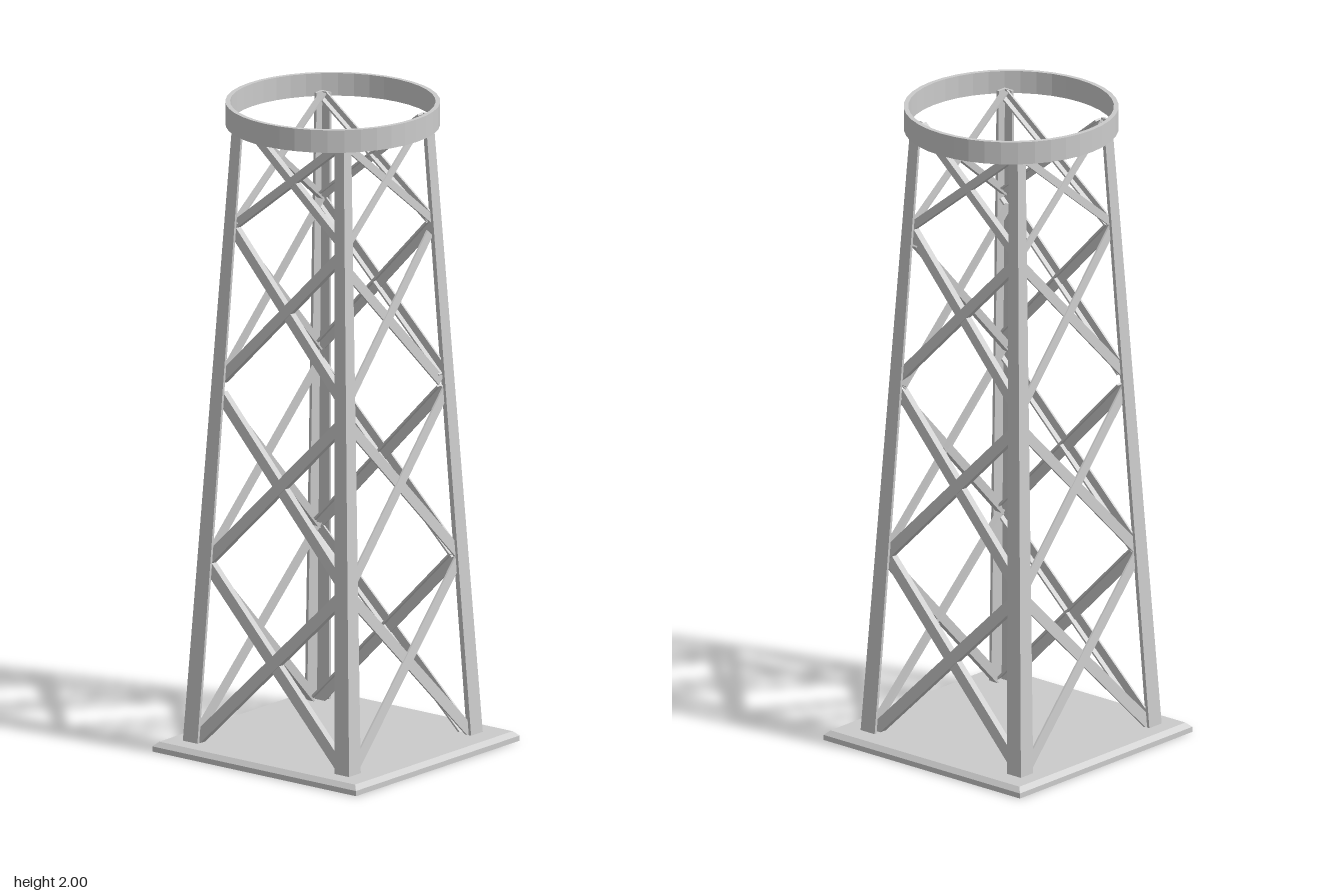
import * as THREE from 'three';

const grey = new THREE.MeshStandardMaterial({ color: 0xcccccc, flatShading: true, side: THREE.DoubleSide });
const V = (x, y, z) => new THREE.Vector3(x, y, z);
const LEG_TOP = 1.95;
const FLANGE = 0.023;                                     // inward depth of a brace
const lerp = THREE.MathUtils.lerp;
const half = (y) => lerp(0.32, 0.213, y / LEG_TOP);       // outer half width of the tower
const legWidth = (y) => lerp(0.056, 0.036, y / LEG_TOP);  // flange width of a leg

// L-shaped section: corner o, flange a along u, flange b along v, thickness t
function lSection(o, u, v, a, b, t) {
  return [[0, 0], [a, 0], [a, t], [t, t], [t, b], [0, b]]
    .map(([p, q]) => o.clone().addScaledVector(u, p).addScaledVector(v, q));
}

// Solid between two L sections
function loft(A, B) {
  const pts = [];
  for (let i = 0; i < 6; i++) {
    const j = (i + 1) % 6;
    pts.push(A[i], A[j], B[j], A[i], B[j], B[i]);
  }
  for (let i = 1; i < 5; i++) pts.push(A[0], A[i + 1], A[i], B[0], B[i], B[i + 1]);
  const g = new THREE.BufferGeometry().setFromPoints(pts);
  g.computeVertexNormals();
  return g;
}

function mesh(name, geometry) {
  const m = new THREE.Mesh(geometry, grey);
  m.name = name;
  return m;
}

// Tapered angle-iron leg at the +x +z corner
function legGeometry() {
  const section = (y) => lSection(V(half(y), y, half(y)), V(0, 0, -1), V(-1, 0, 0),
    legWidth(y), legWidth(y), 0.009);
  return loft(section(0), section(LEG_TOP));
}

// Angle-iron diagonal on the +z side, from left height y0 to right height y1.
// Falling bars carry the inward flange on the upper edge, rising bars on the lower edge.
function braceGeometry(y0, y1, width, inset) {
  const a = V(-half(y0) + 0.022, y0, half(y0) - inset);
  const b = V(half(y1) - 0.022, y1, half(y1) - inset);
  const d = b.clone().sub(a).normalize();
  const lean = V(0, LEG_TOP, half(LEG_TOP) - half(0));
  const n = V(1, 0, 0).cross(lean).normalize().negate();
  n.addScaledVector(d, -n.dot(d)).normalize();
  const down = n.clone().cross(d);
  const up = down.clone().negate();
  const section = (c) => (y1 > y0
    ? lSection(c.clone().addScaledVector(down, width / 2), n, up, FLANGE, width, 0.006)
    : lSection(c.clone().addScaledVector(up, width / 2), down, n, width, FLANGE, 0.006));
  return loft(section(a), section(b));
}

export function createModel() {
  const model = new THREE.Group();
  model.name = 'latticeTower';

  // Square base plate with a bevelled top edge
  const base = mesh('basePlate', new THREE.LatheGeometry(
    [[0, 0], [0.39, 0], [0.39, 0.016], [0.375, 0.03], [0, 0.03]]
      .map(([r, y]) => new THREE.Vector2(r * Math.SQRT2, y)), 4));
  base.rotation.y = Math.PI / 4;
  model.add(base);

  const frame = new THREE.Group();
  frame.name = 'frame';
  frame.position.set(-0.004, 0, -0.009);
  model.add(frame);

  // Cross-brace bays: low end, high end, bar width
  const bays = [[0.02, 0.58, 0.036], [0.585, 1.1, 0.034], [1.15, 1.61, 0.031], [1.625, 1.945, 0.024]];
  // Depth of each bay's braces behind the leg face: front, left, back, right
  const insets = [
    [0.012, 0.012, 0.03, 0.012],
    [0.024, 0.02, 0.012, 0.012],
    [0.012, 0.012, 0.012, 0.012],
    [0.012, 0.012, 0.012, 0.017],
  ];
  const leg = legGeometry();
  insets.forEach((row, k) => {
    const side = new THREE.Group();
    side.name = 'towerSide';
    side.rotation.y = k * Math.PI / 2;
    side.add(mesh('leg', leg));
    bays.forEach(([lo, hi, w], i) => {
      const drop = row[i] > 0.025 ? 0.03 : 0; // the deepest bay hangs lower
      side.add(
        mesh('crossBrace', braceGeometry(lo - drop, hi - drop, w, row[i])),
        mesh('crossBrace', braceGeometry(hi - drop, lo - drop, w, row[i] + 0.003)));
    });
    frame.add(side);
  });

  // Open ring on top
  frame.add(mesh('topRing', new THREE.LatheGeometry(
    [[0.307, 1.93], [0.321, 1.93], [0.321, 2], [0.307, 2], [0.307, 1.93]]
      .map(([r, y]) => new THREE.Vector2(r, y)), 40)));

  return model;
}
